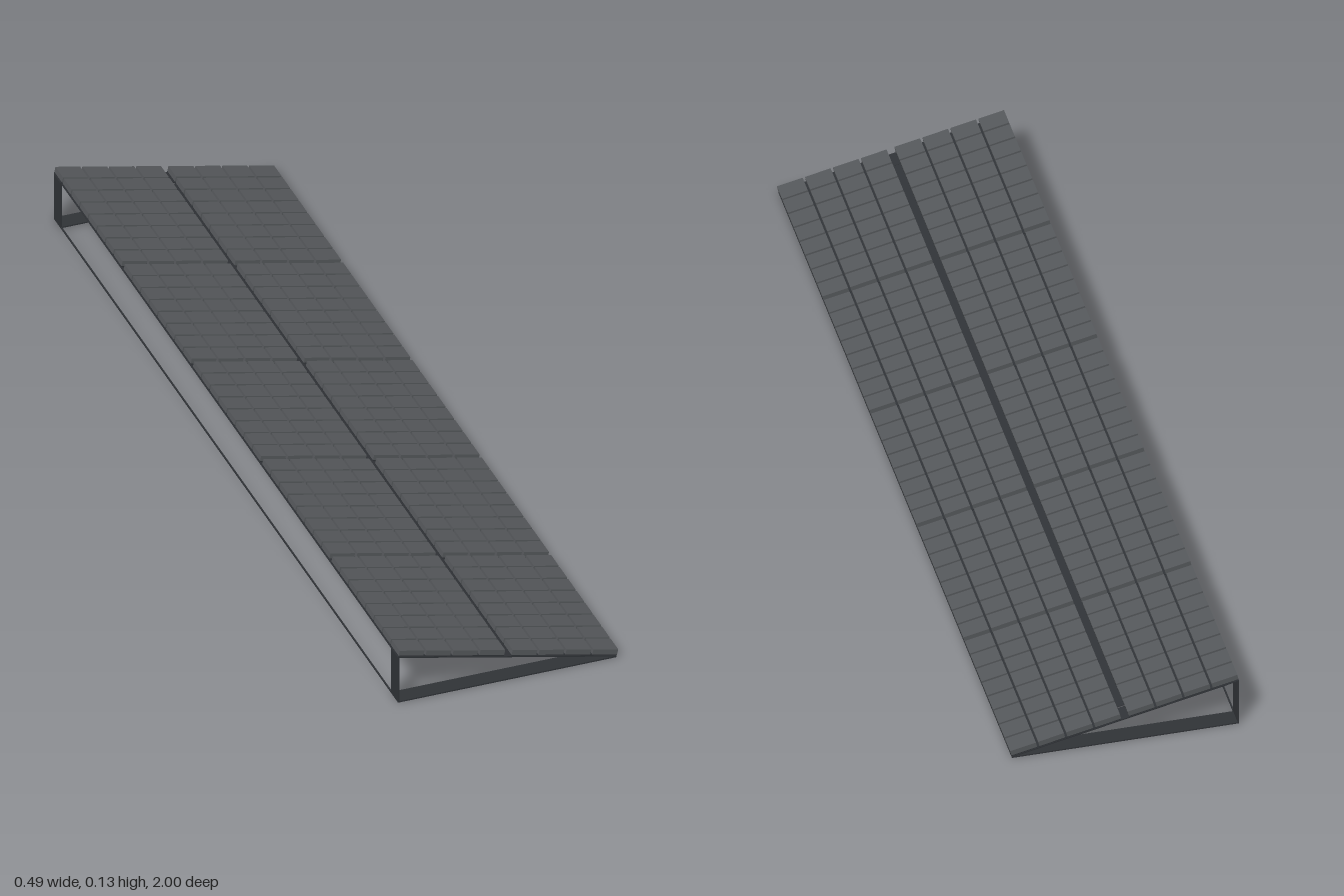
import * as THREE from 'three';
import { mergeGeometries } from 'three/addons/utils/BufferGeometryUtils.js';

const tileMat = new THREE.MeshStandardMaterial({ color: 0x55585b });
const frameMat = new THREE.MeshStandardMaterial({ color: 0x303337 });

// Box geometry given by its minimum and maximum corners
function span(x0, x1, y0, y1, z0, z1) {
  return new THREE.BoxGeometry(x1 - x0, y1 - y0, z1 - z0)
    .translate((x0 + x1) / 2, (y0 + y1) / 2, (z0 + z1) / 2);
}

function add(parent, name, geometry, material) {
  const mesh = new THREE.Mesh(geometry, material);
  mesh.name = name;
  parent.add(mesh);
  return mesh;
}

// One module: thin backing sheet carrying 4 x 8 separate tiles
function createPanelModule(width, depth) {
  const panel = new THREE.Group();
  panel.name = 'panelModule';
  const cols = 4, rows = 8, gap = 0.005;
  const tileW = (width - gap * (cols - 1)) / cols;
  const tileD = (depth - gap * (rows - 1)) / rows;
  const tiles = [];
  for (let c = 0; c < cols; c++) {
    for (let r = 0; r < rows; r++) {
      const x = c * (tileW + gap), z = r * (tileD + gap);
      tiles.push(span(x, x + tileW, 0.0055, 0.0175, z, z + tileD));
    }
  }
  add(panel, 'tiles', mergeGeometries(tiles), tileMat);
  add(panel, 'backingSheet', span(0, width, 0.0035, 0.0055, 0, depth), frameMat);
  return panel;
}

export function createModel() {
  const model = new THREE.Group();
  model.name = 'slopedPanelArray';
  const left = -0.246, right = 0.243, height = 0.111;
  const slopeLength = 0.501, bar = 0.04, thick = 0.003;

  // Sloping deck, hinged at the top of the posts
  const deck = new THREE.Group();
  deck.name = 'deck';
  deck.position.set(left, height, 0);
  deck.rotation.z = -Math.atan2(height - thick / 2, right - left);
  model.add(deck);
  add(deck, 'basePlate', span(0, slopeLength, 0, 0.002, -0.955, 0.96), frameMat);

  // Two columns of five modules
  const width = 0.242, depth = 0.39, pitch = (2 - depth) / 4;
  for (const x of [0, slopeLength - width]) {
    for (let i = 0; i < 5; i++) {
      const panel = createPanelModule(width, depth);
      panel.position.set(x, 0, -1 + i * pitch);
      deck.add(panel);
    }
  }

  // Triangular flat-bar frame at each end
  for (const [name, z0] of [['back', -1], ['front', 1 - bar]]) {
    const z1 = z0 + bar;
    add(deck, name + 'SlopeBar', span(0, slopeLength, 0, 0.0025, z0, z1), frameMat);
    add(model, name + 'Post', span(left, left + thick, 0, height, z0, z1), frameMat);
    add(model, name + 'FloorBar', span(left, right, 0, thick, z0, z1), frameMat);
  }

  // Long rails tying the two end frames together
  add(model, 'rearFloorRail', span(left, left + thick, 0, thick, -1, 1), frameMat);
  add(model, 'lowEdgeRail', span(right - thick, right, 0, thick, -1, 1), frameMat);
  return model;
}
